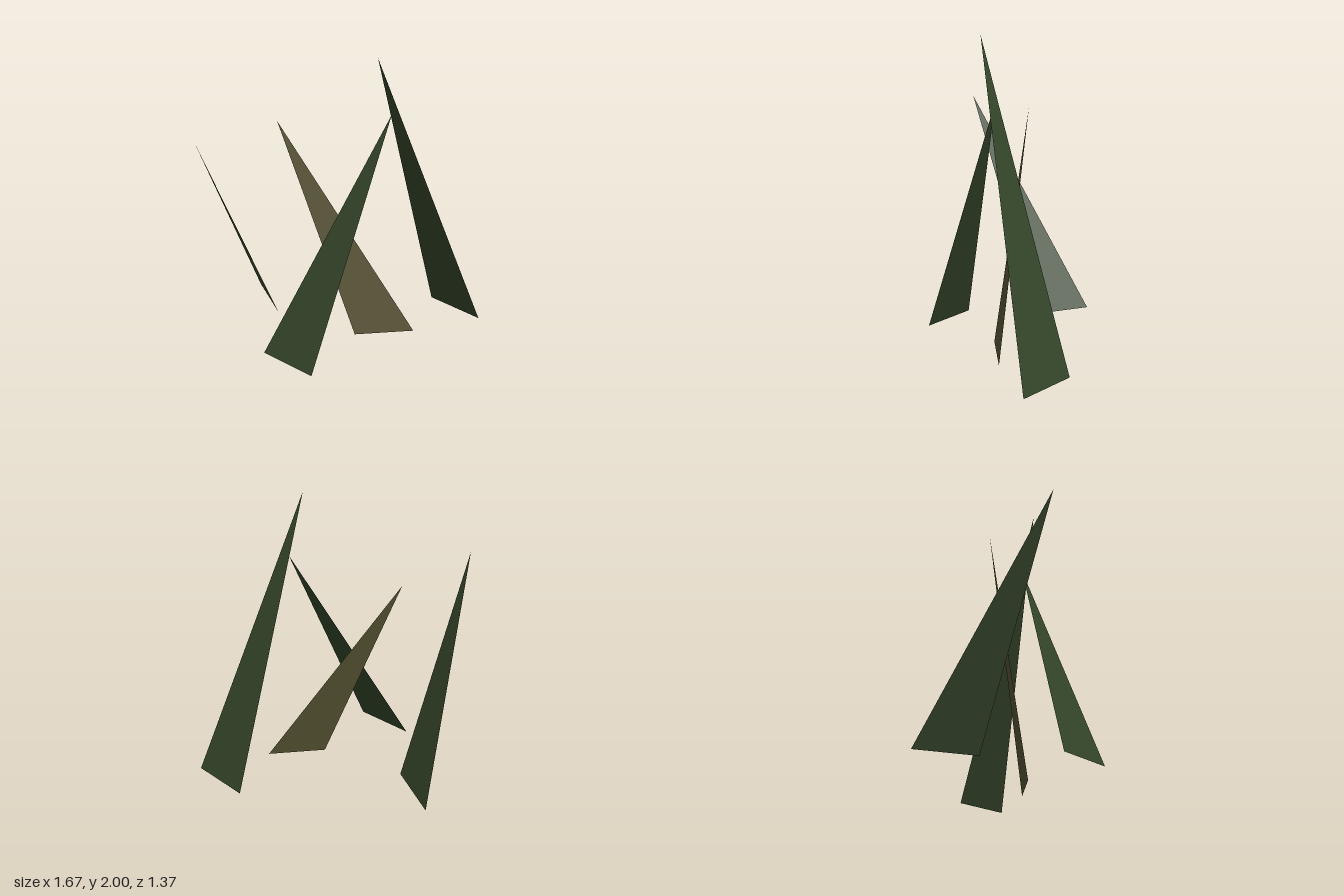
import * as THREE from 'three';

export function createModel() {
  const group = new THREE.Group();
  group.name = 'grassTuft';

  const green = new THREE.MeshStandardMaterial({ color: 0x334429, side: THREE.DoubleSide });
  green.name = 'dark green';
  const olive = new THREE.MeshStandardMaterial({ color: 0x555233, side: THREE.DoubleSide });
  olive.name = 'dry olive';

  // One flat blade: two base corners on the ground and a leaning tip
  function addBlade(name, material, baseA, baseB, tip) {
    const geometry = new THREE.BufferGeometry();
    geometry.setAttribute('position', new THREE.Float32BufferAttribute([...baseA, ...baseB, ...tip], 3));
    geometry.computeVertexNormals();
    const blade = new THREE.Mesh(geometry, material);
    blade.name = name;
    group.add(blade);
  }

  addBlade('tallBlade', green, [0.835, 0, 0.68], [0.78, 0, 0.275], [0.07, 2, 0.38]);
  addBlade('crossingBlade', green, [-0.57, 0, 0.025], [-0.49, 0, 0.425], [0.206, 1.61, 0.375]);
  addBlade('backBlade', green, [-0.2, 0, -0.3], [-0.07, 0, -0.685], [-0.84, 1.52, -0.24]);
  addBlade('dryBlade', olive, [0.033, 0, 0.26], [0.372, 0, 0.49], [-0.212, 1.49, -0.243]);

  return group;
}
